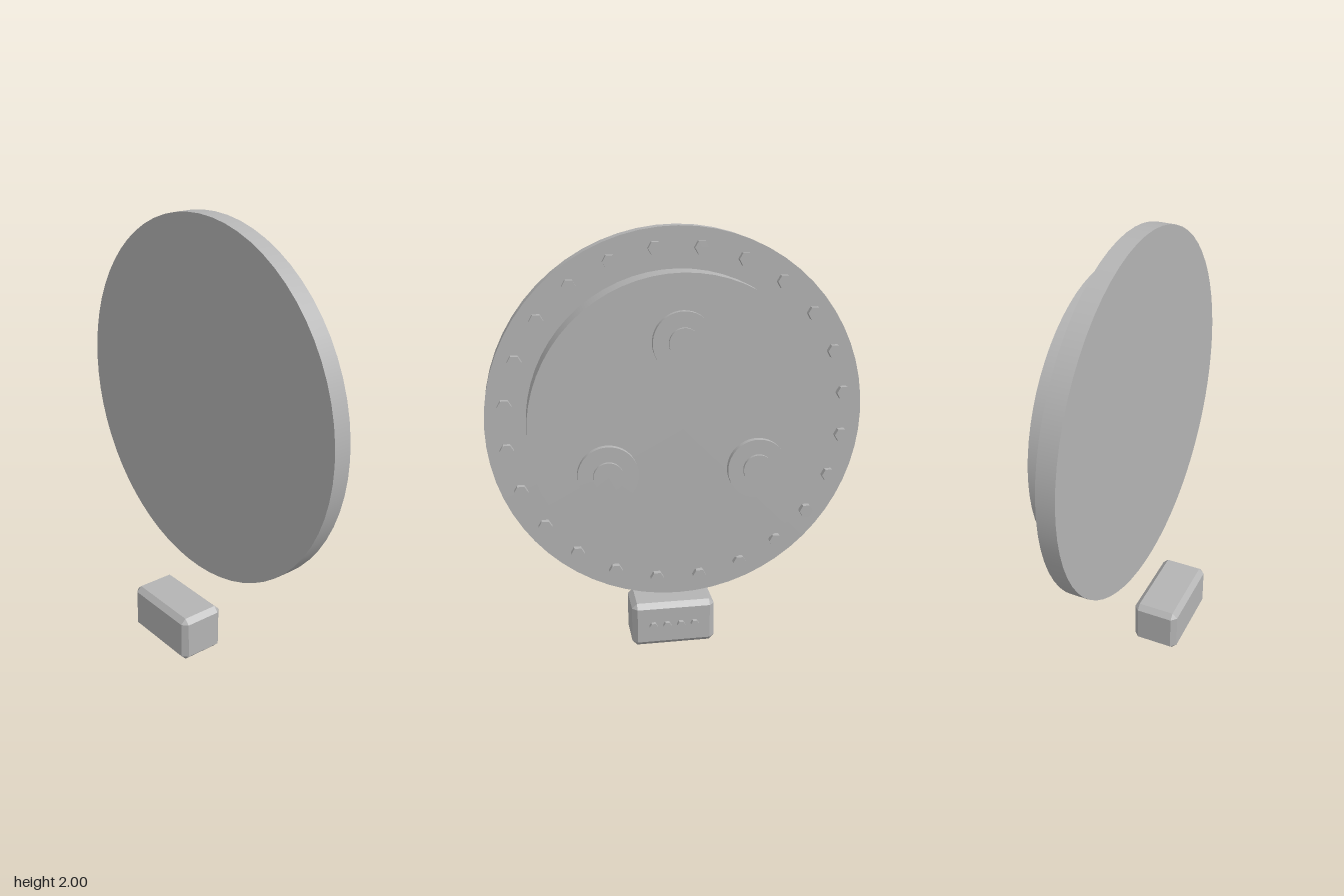
import * as THREE from 'three';
import { ConvexGeometry } from 'three/addons/geometries/ConvexGeometry.js';

const CENTRE_Y = 1.167;

export function createModel() {
  const grey = new THREE.MeshStandardMaterial({ color: 0xb4b4b4 });
  grey.name = 'grey';
  const model = new THREE.Group();
  model.name = 'flangedDisc';

  const add = (name, geometry, parent = model) => {
    const mesh = new THREE.Mesh(geometry, grey);
    mesh.name = name;
    parent.add(mesh);
    return mesh;
  };

  // Cylinder along z between two depths; six-sided ones are faceted
  const disc = (name, radius, front, back, x, y, sides = 64, parent = model) => {
    let g = new THREE.CylinderGeometry(radius, radius, front - back, sides);
    g.rotateY(Math.PI / 2); // a corner points along x
    g.rotateX(Math.PI / 2);
    if (sides < 12) {
      g = g.toNonIndexed();
      g.computeVertexNormals();
    }
    add(name, g, parent).position.set(x, y, (front + back) / 2);
  };

  // Front plate and raised rear housing
  disc('frontPlate', 0.833, 0.008, -0.076, 0, CENTRE_Y);
  disc('rearHousing', 0.658, -0.07, -0.208, 0, CENTRE_Y);

  // Three stepped bosses on the housing
  for (let i = 0; i < 3; i++) {
    const a = Math.PI / 2 + (i * Math.PI * 2) / 3;
    const x = 0.375 * Math.cos(a);
    const y = CENTRE_Y + 0.375 * Math.sin(a);
    disc('bossBase', 0.131, -0.2, -0.235, x, y, 48);
    disc('bossCap', 0.065, -0.23, -0.25, x, y, 48);
  }

  // Ring of hexagonal bolts around the rim
  const bolts = new THREE.Group();
  bolts.name = 'rimBolts';
  model.add(bolts);
  for (let i = 0; i < 24; i++) {
    const a = ((i + 0.5) * Math.PI) / 12;
    disc('rimBolt', 0.031, -0.07, -0.102, 0.75 * Math.cos(a), CENTRE_Y + 0.75 * Math.sin(a), 6, bolts);
  }

  // Chamfered control box: three corner points at each of the eight corners
  const half = [0.2, 0.11, 0.109];
  const bevel = 0.024;
  const points = [];
  for (const sx of [-1, 1]) for (const sy of [-1, 1]) for (const sz of [-1, 1]) {
    for (let axis = 0; axis < 3; axis++) {
      const p = half.map((h, k) => (k === axis ? h : h - bevel));
      points.push(new THREE.Vector3(sx * p[0], sy * p[1], sz * p[2]));
    }
  }
  add('controlBox', new ConvexGeometry(points)).position.set(0, 0.11, 0.141);

  // Row of studs on the back of the box
  for (let i = 0; i < 4; i++) {
    disc('boxStud', 0.02, 0.04, 0.013, (i - 1.5) * 0.067, 0.11, 6);
  }

  return model;
}
